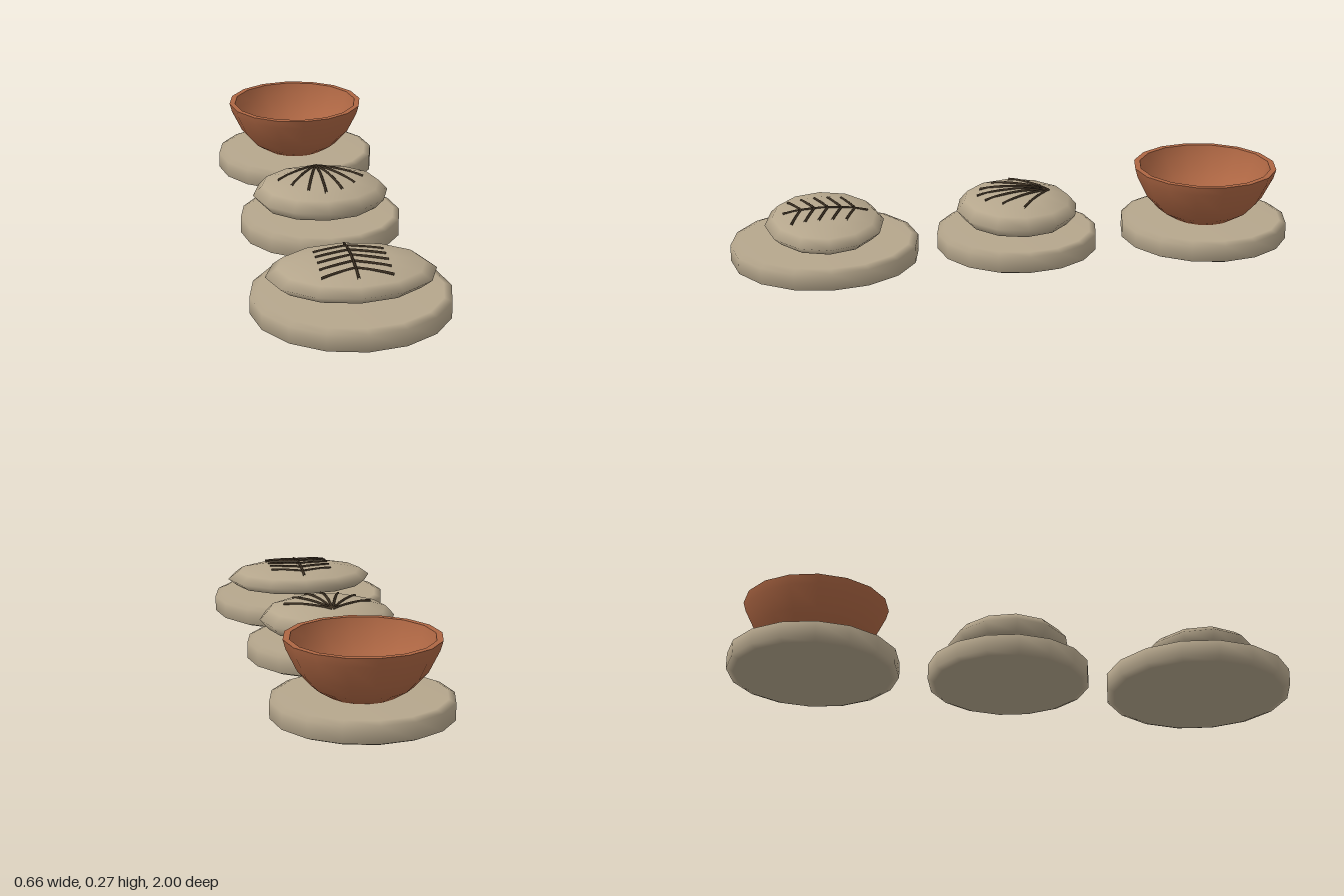
import * as THREE from 'three';

const stone = new THREE.MeshStandardMaterial({ color: 0xb5a68c });
stone.name = 'stone';
const clay = new THREE.MeshStandardMaterial({ color: 0xad6643 });
clay.name = 'terracotta';
const ink = new THREE.MeshStandardMaterial({ color: 0x3b2f21 });
ink.name = 'darkCarving';

const lathe = (points, sides) =>
  new THREE.LatheGeometry(points.map(([r, y]) => new THREE.Vector2(r, y)), sides);

function add(parent, name, geometry, material, y = 0) {
  const mesh = new THREE.Mesh(geometry, material);
  mesh.name = name;
  mesh.position.y = y;
  parent.add(mesh);
  return mesh;
}

// Round pedestal with a softly bevelled rim
function addBase(parent, r) {
  add(parent, 'base', lathe([
    [0, 0], [r * 0.92, 0], [r, 0.01], [r, 0.067], [r * 0.92, 0.077], [0, 0.077],
  ], 16), stone);
}

// Flattened pebble; returns a function that carves a line along its top
function addPebble(parent, rx, ry, rz, y) {
  add(parent, 'pebble', new THREE.SphereGeometry(1, 12, 6).scale(rx, ry, rz), stone, y);
  return (name, x0, z0, x1, z1) => {
    const points = [];
    for (let i = 0; i <= 6; i++) {
      const x = x0 + (x1 - x0) * i / 6, z = z0 + (z1 - z0) * i / 6;
      const h = Math.sqrt(1 - (x / rx) ** 2 - (z / rz) ** 2);
      points.push(new THREE.Vector3(x, y + ry * h, z));
    }
    const curve = new THREE.CatmullRomCurve3(points);
    add(parent, name, new THREE.TubeGeometry(curve, 8, 0.0048, 5), ink);
  };
}

function station(model, name, z) {
  const group = new THREE.Group();
  group.name = name;
  group.position.z = z;
  model.add(group);
  return group;
}

export function createModel() {
  const model = new THREE.Group();
  model.name = 'stoneDisplay';

  // Front: oval pebble with a fern carving
  const fern = station(model, 'fernStone', 0.668);
  addBase(fern, 0.329);
  const carveFern = addPebble(fern, 0.279, 0.055, 0.208, 0.133);
  carveFern('fernStem', 0, -0.152, 0, 0.143);
  for (let i = 0; i < 5; i++) {
    const z = -0.108 + i * 0.047;
    for (const side of [-1, 1]) carveFern('fernLeaf', 0, z, side * 0.116, z + 0.04);
  }

  // Middle: rounder pebble with a fan carving
  const fan = station(model, 'fanStone', -0.014);
  addBase(fan, 0.286);
  const carveFan = addPebble(fan, 0.242, 0.07, 0.216, 0.147);
  const rays = [[0, 0.143], [0.06, 0.124], [0.113, 0.072], [0.154, 0.002]];
  for (const [x, z] of rays) {
    for (const side of x ? [-1, 1] : [1]) carveFan('fanRay', 0, -0.115, side * x, z);
  }

  // Back: open terracotta bowl
  const bowl = station(model, 'bowlStand', -0.7);
  addBase(bowl, 0.3);
  add(bowl, 'bowl', lathe([
    [0, 0.074], [0.11, 0.076], [0.165, 0.11], [0.21, 0.16], [0.247, 0.235],
    [0.256, 0.267],
  ], 16), clay);
  add(bowl, 'bowlRim', lathe([[0.256, 0.267], [0.235, 0.267]], 16), clay);
  add(bowl, 'bowlInside', lathe([
    [0.235, 0.267], [0.222, 0.225], [0.185, 0.165], [0.13, 0.12], [0.07, 0.1], [0, 0.096],
  ], 16), clay);
  return model;
}
